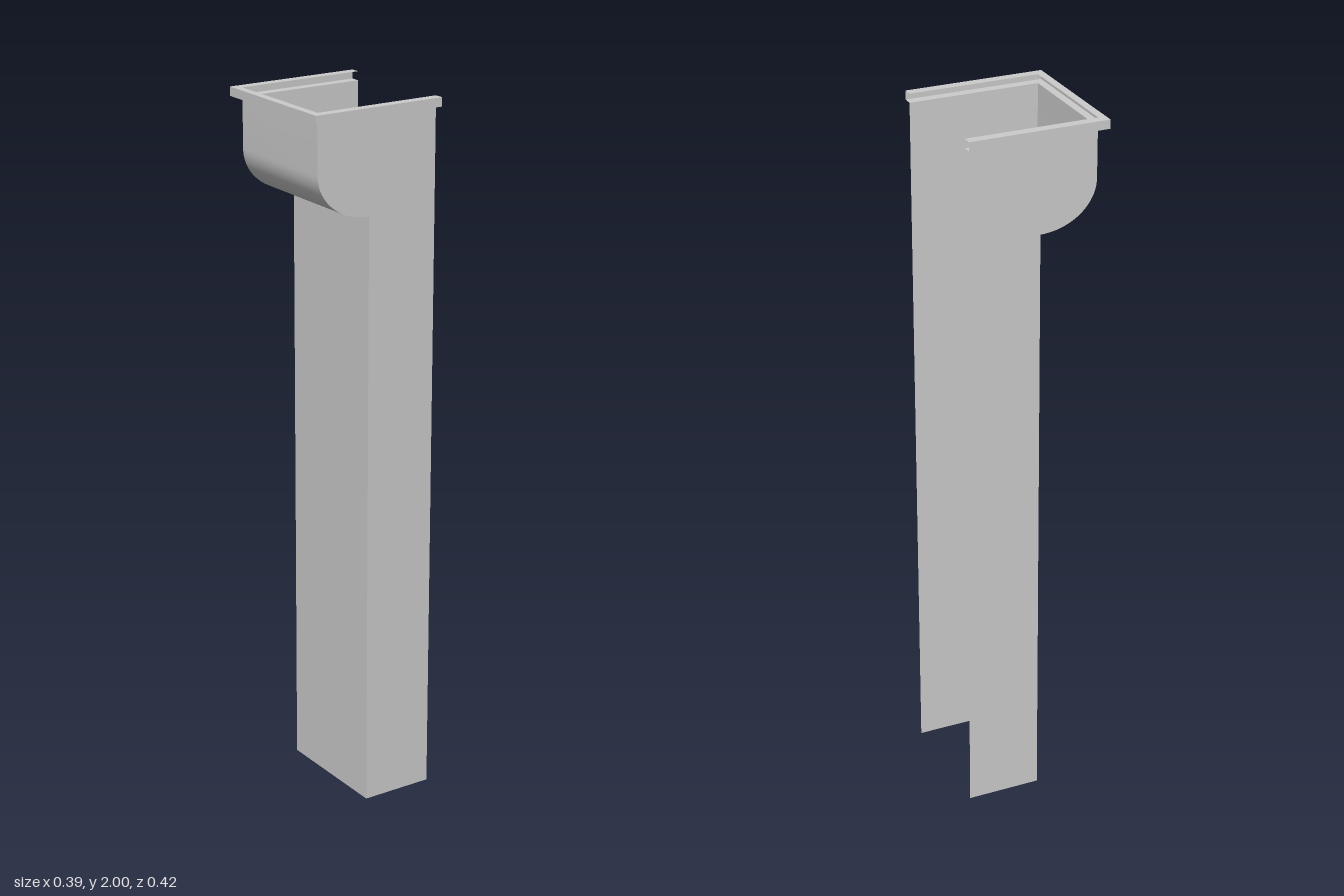
import * as THREE from 'three';
import { toCreasedNormals } from 'three/addons/utils/BufferGeometryUtils.js';

const material = new THREE.MeshStandardMaterial({ color: 0xcccccc, side: THREE.DoubleSide });

const OPEN_X = 0.195;   // open edge of the channel
const WALL_X = -0.015;  // back wall of the channel
const BULGE_X = -0.175; // back wall of the widened head
const HALF_Z = 0.181;
const RIM_X = -0.197, RIM_Z = 0.208;
const RIM_Y = 1.975, TOP = 2;

// Joins consecutive rows of points with quads
function sheet(rows) {
  const positions = [];
  for (let i = 0; i < rows.length - 1; i++) {
    for (let j = 0; j < rows[i].length - 1; j++) {
      const a = rows[i][j], b = rows[i + 1][j], c = rows[i + 1][j + 1], d = rows[i][j + 1];
      positions.push(...a, ...b, ...c, ...a, ...c, ...d);
    }
  }
  const geometry = new THREE.BufferGeometry();
  geometry.setAttribute('position', new THREE.Float32BufferAttribute(positions, 3));
  return toCreasedNormals(geometry, 0.5);
}

export function createModel() {
  const model = new THREE.Group();
  model.name = 'channelWithHopper';
  const add = (name, geometry) => {
    const mesh = new THREE.Mesh(geometry, material);
    mesh.name = name;
    model.add(mesh);
    return mesh;
  };

  // Back profile: straight channel, rounded underside of the head, straight head
  const rx = WALL_X - BULGE_X, ry = 0.13, startY = 1.705;
  const profile = [[WALL_X, 0]];
  const steps = 20;
  for (let i = 0; i <= steps; i++) {
    const a = (i / steps) * Math.PI / 2;
    profile.push([WALL_X - rx * Math.sin(a), startY + ry * (1 - Math.cos(a))]);
  }
  profile.push([BULGE_X, RIM_Y]);

  // Back wall, swept across the width
  add('backWall', sheet(profile.map(([x, y]) => [[x, y, HALF_Z], [x, y, -HALF_Z]])));

  // Side panels follow the same profile
  const outline = new THREE.Shape([...profile, [OPEN_X, RIM_Y], [OPEN_X, 0]]
    .map(([x, y]) => new THREE.Vector2(x, y)));
  for (const [name, side] of [['frontPanel', 1], ['rearPanel', -1]]) {
    add(name, new THREE.ShapeGeometry(outline)).position.z = side * HALF_Z;
  }

  // Folded rim: lower flange, outer face and upper flange around three sides
  const path = (x, z, y) => [[OPEN_X, y, z], [x, y, z], [x, y, -z], [OPEN_X, y, -z]];
  add('rim', sheet([
    path(BULGE_X, HALF_Z, RIM_Y),
    path(RIM_X, RIM_Z, RIM_Y),
    path(RIM_X, RIM_Z, TOP),
    path(BULGE_X, HALF_Z, TOP),
  ]));

  return model;
}
